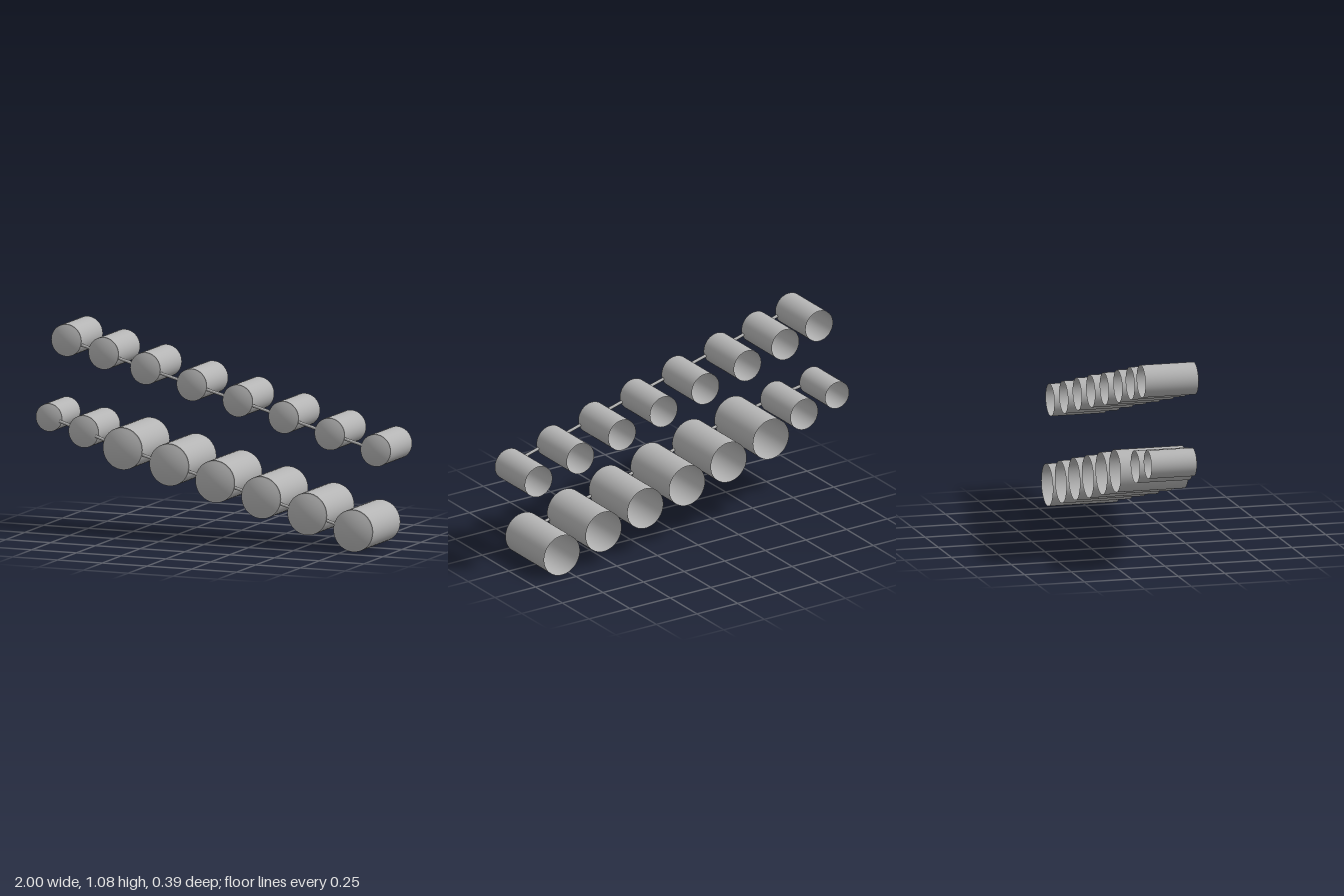
import * as THREE from 'three';

const metal = new THREE.MeshStandardMaterial({ color: 0xb4b4b4, side: THREE.DoubleSide });
metal.name = 'grey metal';

// Each barrel: x, y, radius, back z, rim z, dome tip z
const upper = [[-0.815, 0.996], [-0.607, 0.941], [-0.374, 0.877], [-0.115, 0.808],
  [0.142, 0.741], [0.398, 0.671], [0.655, 0.6], [0.912, 0.531]]
  .map(([x, y]) => [x, y, 0.084, -0.146, 0.138, 0.155]);
const lower = [
  [-0.928, 0.581, 0.073, -0.143, 0.1, 0.115],
  [-0.72, 0.526, 0.084, -0.151, 0.134, 0.15],
  ...[[-0.487, 0.457], [-0.227, 0.389], [0.029, 0.318], [0.286, 0.251], [0.543, 0.181], [0.8, 0.11]]
    .map(([x, y]) => [x, y, 0.11, -0.193, 0.17, 0.193]),
];

function addMesh(parent, geometry, name) {
  const mesh = new THREE.Mesh(geometry, metal);
  mesh.name = name;
  parent.add(mesh);
  return mesh;
}

// Hollow barrel, open at the back, closed by a shallow dome at the front
function makeBarrel([x, y, r, back, rim, tip]) {
  const barrel = new THREE.Group();
  barrel.name = 'barrel';
  barrel.position.set(x, y, 0);

  const wall = new THREE.CylinderGeometry(r, r, rim - back, 48, 1, true);
  wall.rotateX(Math.PI / 2).translate(0, 0, (rim + back) / 2);
  addMesh(barrel, wall, 'barrelWall');

  // Narrow flat lip around the dome
  addMesh(barrel, new THREE.RingGeometry(r * 0.95, r, 48).translate(0, 0, rim), 'rimLip');

  const profile = [];
  for (let i = 0; i <= 10; i++) {
    const t = 1 - i / 10;
    profile.push(new THREE.Vector2(r * 0.95 * t, rim + (tip - rim) * (1 - t * t)));
  }
  addMesh(barrel, new THREE.LatheGeometry(profile, 48).rotateX(Math.PI / 2), 'frontDome');
  return barrel;
}

// Thin rod joining two neighbouring barrels just behind their rims
function addRod(parent, a, b) {
  const start = new THREE.Vector3(a[0], a[1], a[4] - 0.012);
  const end = new THREE.Vector3(b[0], b[1], b[4] - 0.012);
  const axis = end.clone().sub(start);
  const rod = addMesh(parent, new THREE.CylinderGeometry(0.008, 0.008, axis.length(), 12), 'connectingRod');
  rod.position.copy(start).add(end).multiplyScalar(0.5);
  rod.quaternion.setFromUnitVectors(new THREE.Vector3(0, 1, 0), axis.normalize());
}

function makeRow(barrels, name) {
  const row = new THREE.Group();
  row.name = name;
  barrels.forEach((barrel, i) => {
    row.add(makeBarrel(barrel));
    if (i > 0) addRod(row, barrels[i - 1], barrel);
  });
  return row;
}

export function createModel() {
  const model = new THREE.Group();
  model.name = 'barrelRows';
  model.add(makeRow(upper, 'upperRow'), makeRow(lower, 'lowerRow'));
  return model;
}
